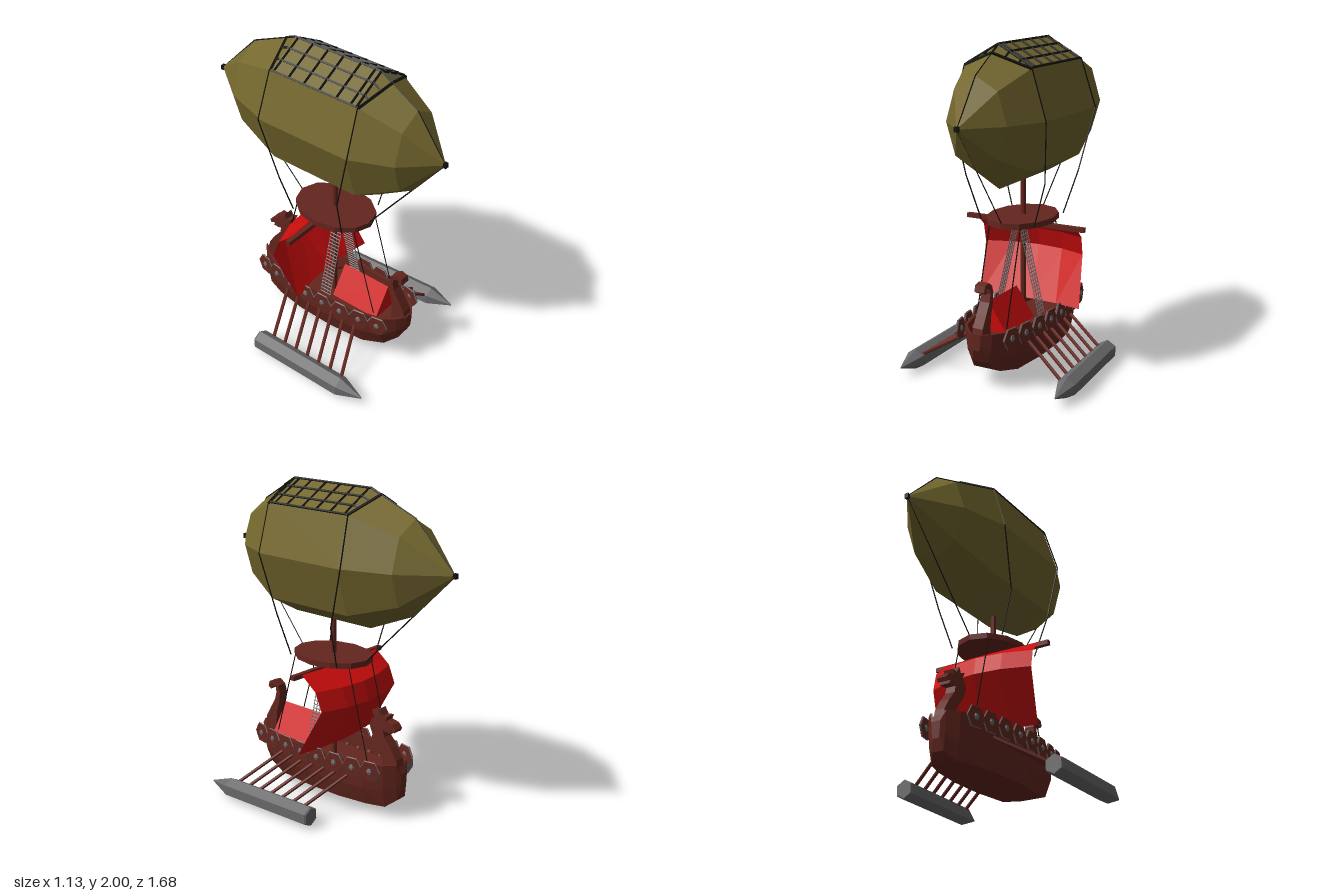
import * as THREE from 'three';

const mat = (color, side = THREE.FrontSide) => new THREE.MeshStandardMaterial({ color, flatShading: true, side });
const WOOD = mat(0x64261e), RED = mat(0xcc0c0c, THREE.DoubleSide), OLIVE = mat(0x74672e);
const BLACK = mat(0x11110e), GREY = mat(0x6a6a6c), CHAIN = mat(0x777777);
const V = (x, y, z) => new THREE.Vector3(x, y, z);

export function createModel() {
  const model = new THREE.Group();

  const add = (name, geometry, material, parent = model) => {
    const m = new THREE.Mesh(geometry, material);
    m.name = name;
    parent.add(m);
    return m;
  };
  const group = (name) => {
    const g = new THREE.Group();
    g.name = name;
    model.add(g);
    return g;
  };
  // straight bar between two points
  const rod = (name, a, b, r, material, parent, sides = 4) => {
    const m = add(name, new THREE.CylinderGeometry(r, r, a.distanceTo(b), sides), material, parent);
    m.position.copy(a).lerp(b, 0.5);
    m.quaternion.setFromUnitVectors(V(0, 1, 0), b.clone().sub(a).normalize());
    return m;
  };
  const rope = (name, pts, r, material, parent) => {
    for (let i = 1; i < pts.length; i++) rod(name, pts[i - 1], pts[i], r, material, parent);
  };
  // skin over rings ordered along +z, each counter-clockwise seen from +z
  const loft = (rings) => {
    const pos = [], n = rings[0].length, L = rings.length - 1;
    const tri = (...p) => p.forEach((v) => pos.push(v.x, v.y, v.z));
    for (let i = 0; i < L; i++) for (let j = 0; j < n; j++) {
      const k = (j + 1) % n, a = rings[i][j], b = rings[i][k], c = rings[i + 1][k], d = rings[i + 1][j];
      tri(a, b, c);
      tri(a, c, d);
    }
    for (let j = 1; j < n - 1; j++) {
      tri(rings[L][0], rings[L][j], rings[L][j + 1]);
      tri(rings[0][0], rings[0][j + 1], rings[0][j]);
    }
    const g = new THREE.BufferGeometry();
    g.setAttribute('position', new THREE.Float32BufferAttribute(pos, 3));
    g.computeVertexNormals();
    return g;
  };
  // side silhouette given as [z, y], extruded across x
  const silhouette = (name, pts, width, material) => {
    const shape = new THREE.Shape(pts.map(([z, y]) => new THREE.Vector2(z, y)));
    const m = add(name, new THREE.ExtrudeGeometry(shape, { depth: width, bevelEnabled: false }), material);
    m.rotation.y = -Math.PI / 2;
    m.position.x = width / 2 + 0.01;
    return m;
  };

  // gas envelope: [z, scale] of each octagonal ring
  const CY = 1.575, RX = 0.305, RY = 0.415, CX = 0.01;
  const stations = [[-0.83, 0.01], [-0.55, 0.68], [-0.23, 1], [0.38, 1], [0.63, 0.64], [0.83, 0.01]];
  add('envelope', loft(stations.map(([z, s]) => Array.from({ length: 8 }, (_, i) => {
    const a = i * Math.PI / 4;
    return V(CX + RX * s * Math.cos(a), CY + RY * s * Math.sin(a), z);
  }))), OLIVE);
  for (const z of [-0.83, 0.83]) {
    add('envelopeTip', new THREE.BoxGeometry(0.025, 0.03, 0.02), BLACK).position.set(CX, CY, z);
  }

  // net lying on the roof of the envelope
  const net = group('net');
  const scaleAt = (z) => {
    const i = Math.max(1, stations.findIndex(([sz]) => sz >= z));
    const [z0, s0] = stations[i - 1], [z1, s1] = stations[i];
    return s0 + (s1 - s0) * (z - z0) / (z1 - z0);
  };
  const roof = (x, z) => V(CX + x, CY + RY * scaleAt(z) - Math.abs(x) * 0.564 + 0.003, z);
  const frontEdge = (x) => 0.455 - Math.abs(x) * 0.3, backEdge = (x) => -0.3 + Math.abs(x) * 0.3;
  const columns = [-0.215, -0.145, -0.07, 0, 0.07, 0.145, 0.215];
  for (const x of columns) {
    rope('netLine', [backEdge(x), -0.23, 0.38, frontEdge(x)].map((z) => roof(x, z)), 0.008, BLACK, net);
  }
  for (const z of [-0.21, -0.1, 0.01, 0.12, 0.24, 0.34, 0.38]) {
    rope('netCrossLine', [-0.215, 0, 0.215].map((x) => roof(x, z)), 0.008, BLACK, net);
  }
  for (const edge of [frontEdge, backEdge]) {
    rope('netEdge', columns.map((x) => roof(x, edge(x))), 0.01, BLACK, net);
  }

  // rigging
  const rig = group('rigging');
  rope('noseRope', [roof(0, 0.455), roof(0, 0.63), V(CX, CY, 0.83), V(0, 0.94, 0.34)], 0.004, BLACK, rig);
  rope('tailRope', [roof(0, -0.3), roof(0, -0.55), V(CX, CY, -0.83), V(0, 0.94, -0.19)], 0.004, BLACK, rig);
  for (const s of [-1, 1]) {
    rope('envelopeRope', [V(CX + s * 0.218, 1.872, 0.39), V(CX + s * 0.308, 1.575, 0.39),
      V(s * 0.265, 1.2, 0.3), V(s * 0.18, 0.93, 0.27)], 0.004, BLACK, rig);
    rope('envelopeRope', [V(CX + s * 0.218, 1.872, -0.24), V(CX + s * 0.308, 1.575, -0.26),
      V(s * 0.265, 1.2, -0.14), V(s * 0.18, 0.93, -0.11)], 0.004, BLACK, rig);
    rod('deckRope', V(s * 0.105, 0.92, 0.3), V(s * 0.105, 0.35, 0.47), 0.004, BLACK, rig);
    rod('deckRope', V(s * 0.105, 0.92, -0.14), V(s * 0.105, 0.35, -0.29), 0.004, BLACK, rig);
  }

  // mast, lookout platform and yard
  rod('mast', V(0, 0.15, 0.075), V(0, 1.2, 0.075), 0.017, WOOD, model, 8);
  const platform = add('platform', new THREE.CylinderGeometry(0.205, 0.205, 0.035, 12), WOOD);
  platform.scale.z = 1.32;
  platform.position.set(0, 0.927, 0.08);
  add('yard', new THREE.BoxGeometry(0.81, 0.028, 0.03), WOOD).position.set(-0.005, 0.882, 0.045);

  // billowing sail: rows of [y, edge z, extra belly, x shift]
  const rows = [[0.89, 0.03, 0.02, -0.01], [0.8, -0.07, 0.08, -0.02], [0.68, -0.11, 0.08, -0.03], [0.38, 0.04, 0.04, 0.02]];
  const sail = new THREE.PlaneGeometry(1, 1, 4, 3), sp = sail.attributes.position;
  for (let i = 0; i < sp.count; i++) {
    const u = sp.getX(i) * 2, [y, z, belly, shift] = rows[Math.floor(i / 5)];
    sp.setXYZ(i, u * 0.345 + shift, y, z - belly * (1 - u * u));
  }
  add('sail', sail, RED);

  // deck tent
  const tent = new THREE.Shape([[-0.12, 0.33], [0.12, 0.33], [0, 0.51]].map((p) => new THREE.Vector2(...p)));
  add('tent', new THREE.ExtrudeGeometry(tent, { depth: 0.34, bevelEnabled: false }), RED).position.z = 0.16;

  // hull: [z, half width at rim, half width at bottom, bottom y, deck y]
  const hull = [[-0.5, 0.03, 0.02, 0.2, 0.3], [-0.48, 0.055, 0.04, 0.13, 0.34], [-0.42, 0.11, 0.08, 0.08, 0.3],
    [-0.3, 0.165, 0.12, 0.08, 0.26], [-0.1, 0.19, 0.15, 0.08, 0.26], [0.15, 0.2, 0.155, 0.08, 0.26],
    [0.4, 0.185, 0.13, 0.08, 0.26], [0.54, 0.15, 0.09, 0.11, 0.28], [0.62, 0.085, 0.05, 0.18, 0.34], [0.66, 0.03, 0.02, 0.26, 0.36]];
  add('hull', loft(hull.map(([z, w, b, lo, deck], i) => {
    const hi = i === 0 ? 0.3 : 0.36, wi = w - Math.min(0.02, w * 0.3), m = b * 0.3 + w * 0.7, my = lo + (hi - lo) * 0.4;
    return [[w, hi], [wi, hi], [wi, deck], [-wi, deck], [-wi, hi], [-w, hi], [-m, my], [-b, lo], [b, lo], [m, my]]
      .map(([x, y]) => V(x + 0.01, y, z));
  })), WOOD);

  // carved beast head and neck
  silhouette('figurehead', [[-0.49, 0.28], [-0.36, 0.3], [-0.36, 0.39], [-0.33, 0.44], [-0.28, 0.5], [-0.255, 0.56],
    [-0.265, 0.6], [-0.29, 0.62], [-0.27, 0.66], [-0.31, 0.645], [-0.325, 0.68], [-0.35, 0.64], [-0.39, 0.645],
    [-0.38, 0.615], [-0.43, 0.605], [-0.455, 0.575], [-0.445, 0.555], [-0.41, 0.57], [-0.425, 0.545], [-0.385, 0.545],
    [-0.36, 0.55], [-0.37, 0.51], [-0.42, 0.45], [-0.465, 0.38]], 0.065, WOOD);

  // curled post: tapering strip along a centre line of [z, y, half thickness]
  const curl = [[0.6, 0.3, 0.055], [0.595, 0.38, 0.045], [0.57, 0.45, 0.03], [0.54, 0.52, 0.02], [0.53, 0.575, 0.016],
    [0.54, 0.615, 0.014], [0.57, 0.637, 0.013], [0.6, 0.628, 0.012], [0.608, 0.605, 0.011], [0.59, 0.595, 0.009]];
  const offset = (s) => curl.map(([z, y, t], i) => {
    const a = curl[Math.max(0, i - 1)], b = curl[Math.min(curl.length - 1, i + 1)];
    const dz = b[0] - a[0], dy = b[1] - a[1], l = Math.hypot(dz, dy);
    return [z - s * t * dy / l, y + s * t * dz / l];
  });
  silhouette('curledPost', [...offset(-1), ...offset(1).reverse()], 0.065, WOOD);

  for (const s of [-1, 1]) {
    const side = s > 0 ? 'left' : 'right';

    // shields along the rim
    const shields = group(side + 'Shields');
    [0.545, 0.42, 0.285, 0.15, 0.015, -0.12, -0.25, -0.37].forEach((z, i) => {
      const shield = new THREE.Group();
      shield.name = 'shield';
      add('board', new THREE.CylinderGeometry(0.068, 0.068, 0.014, 6).rotateX(Math.PI / 2).rotateZ(0), WOOD, shield).rotation.z = Math.PI / 6;
      add('rim', new THREE.TorusGeometry(0.068, 0.005, 4, 6), GREY, shield);
      add('boss', new THREE.SphereGeometry(0.024, 6, 4), GREY, shield).scale.z = 0.8;
      const bend = (z - 0.09) / 0.46;
      shield.position.set(0.005 + s * (0.222 - 0.05 * bend * bend), 0.33, z);
      shield.rotation.y = s * (Math.PI / 2 - 0.2 * bend);
      shields.add(shield);
    });

    // outrigger float with a pointed nose
    const float = add(side + 'Float', loft([[-0.41, 0.055], [-0.4, 0.063], [0.25, 0.063], [0.41, 0.004]].map(([z, r]) =>
      Array.from({ length: 6 }, (_, i) => V(r * Math.cos(i * Math.PI / 3 + 0.5), r * Math.sin(i * Math.PI / 3 + 0.5), z)))), GREY);
    float.position.set(s > 0 ? 0.495 : -0.508, s > 0 ? 0.072 : 0.064, s > 0 ? 0.245 : 0.28);
    float.rotation.y = s > 0 ? 0.055 : 0.015;

    // oars joining hull and float
    const oars = group(side + 'Oars');
    for (let i = 0; i < 7; i++) {
      const z = (s > 0 ? -0.07 : -0.04) + i * 0.092;
      rod('oar', V(s * 0.15, 0.275, z - 0.14), V(s * 0.48, 0.09, z), 0.011, WOOD, oars, 6);
    }

    // rope ladder from the rim to the mast top
    const ladder = group(side + 'Ladder');
    const at = (t, z) => V(s * (0.02 + 0.13 * t), 0.9 - 0.55 * t, z);
    for (let k = 0; k < 4; k++) rod('strand', at(0, 0.085 + k * 0.025), at(1, 0.085 + k * 0.025), 0.003, CHAIN, ladder);
    for (let k = 0; k <= 24; k++) rod('rung', at(k / 24, 0.083), at(k / 24, 0.163), 0.004, CHAIN, ladder);
  }

  return model;
}
